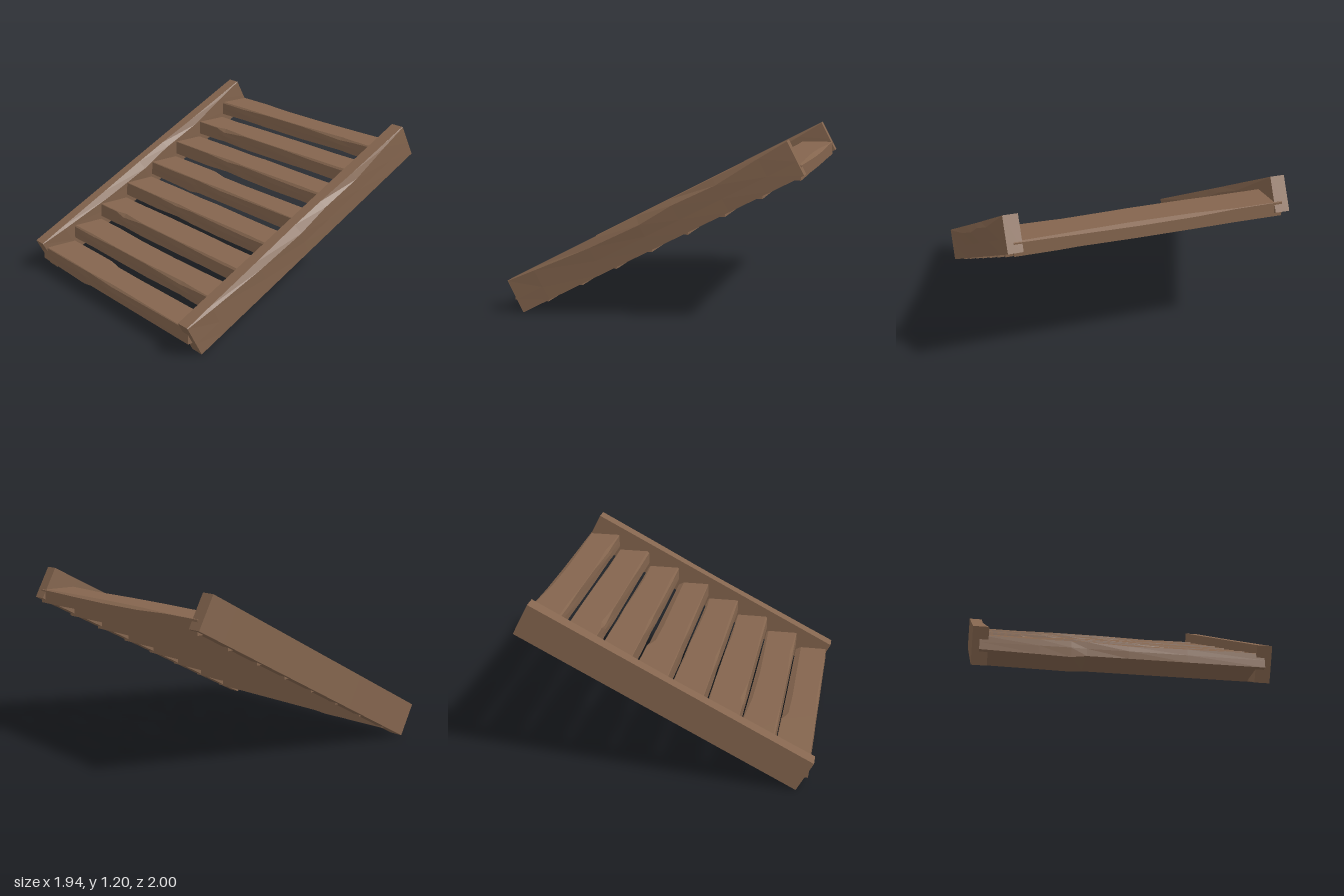
import * as THREE from 'three';

// Flat-shaded solid through a list of equal-length rings of [x, y, z] points.
function loft(rings) {
  const pos = [], n = rings[0].length;
  const tri = (a, b, c) => pos.push(...a, ...b, ...c);
  for (let i = 0; i < rings.length - 1; i++) {
    for (let j = 0; j < n; j++) {
      const k = (j + 1) % n, A = rings[i], B = rings[i + 1];
      tri(A[j], A[k], B[k]);
      tri(A[j], B[k], B[j]);
    }
  }
  const first = rings[0], last = rings[rings.length - 1];
  for (let j = 1; j < n - 1; j++) {
    tri(first[0], first[j + 1], first[j]);
    tri(last[0], last[j], last[j + 1]);
  }
  const g = new THREE.BufferGeometry();
  g.setAttribute('position', new THREE.Float32BufferAttribute(pos, 3));
  g.computeVertexNormals();
  return g;
}

// Worn tread styles: [x, front top chip, back top chip, front face bulge, sag]
const STYLES = [
  [[-0.925, .004, .004, 0, 0], [-0.55, .006, .004, .002, .008], [-0.35, .004, .006, .004, .014],
   [-0.25, .003, .045, 0, 0], [0.02, .014, .05, .004, 0], [0.4, .008, .045, .002, 0], [0.91, .003, .04, 0, 0]],
  [[-0.925, .008, .003, 0, 0], [-0.6, .012, .006, .003, -.004], [-0.3, .003, .03, 0, 0],
   [0.1, .004, .035, .002, .002], [0.5, .02, .025, .005, -.006], [0.62, .012, .02, .002, 0], [0.91, .004, .012, 0, 0]],
  [[-0.925, .003, .003, 0, 0], [-0.64, .004, .012, 0, 0], [-0.55, .025, .008, .004, -.004],
   [-0.3, .004, .004, 0, .004], [0.15, .004, .006, .003, 0], [0.45, .012, .014, 0, -.004], [0.91, .014, .004, 0, 0]],
  [[-0.925, .003, .004, 0, 0], [-0.45, .004, .004, 0, .003], [-0.2, .016, .012, .004, -.008],
   [-0.02, .006, .006, 0, 0], [0.3, .012, .016, .004, .004], [0.6, .016, .02, .002, 0], [0.91, .006, .008, 0, 0]],
];

function treadGeometry(style) {
  const h = 0.1, d = 0.242;
  return loft(style.map(([x, front, back, bulge, sag]) => [
    [x, -sag, 0],
    [x, -sag * 0.5, -d],
    [x, h - back * 0.5, -d],
    [x, h, -d + back],
    [x, h, -front],
    [x, h - front, 0],
    [x, h * 0.5, bulge],
  ]));
}

// Side beam along local z, with a wandering worn edge on its +x side.
function stringerGeometry(length, depth) {
  const stations = [ // [fraction, bulge, chip width, chip height]
    [0, 0, .003, .004], [0.1, .008, .008, .02], [0.3, .013, .014, .05],
    [0.48, .016, .022, .06], [0.6, .014, .02, .04], [0.75, .01, .01, .05], [0.9, .004, .006, .02], [1, 0, .003, .004],
  ];
  return loft(stations.map(([t, bulge, w, c]) => {
    const z = -t * length;
    return [
      [-0.05, 0, z],
      [-0.05, depth, z],
      [0.05 - w, depth, z],
      [0.05 + bulge, depth - c, z],
      [0.05 + bulge * 0.4, depth * 0.4, z],
      [0.05, 0, z],
    ];
  }));
}

export function createModel() {
  const model = new THREE.Group();
  model.name = 'staircase';
  const wood = new THREE.MeshStandardMaterial({ color: 0x84654e });

  // Two sloping side beams
  const beam = stringerGeometry(2.13, 0.242);
  for (const [name, x] of [['rightStringer', -0.92], ['leftStringer', 0.905]]) {
    const m = new THREE.Mesh(beam, wood);
    m.name = name;
    m.position.set(x, 0.003, 0.89);
    m.rotation.x = Math.atan2(0.985, 1.89);
    model.add(m);
  }

  // Eight treads climbing towards the back
  const treads = STYLES.map(treadGeometry);
  [0, 1, 2, 3, 0, 3, 2, 1].forEach((style, i) => {
    const m = new THREE.Mesh(treads[style], wood);
    m.name = 'tread' + (i + 1);
    m.position.set(0, 0.079 + i * 0.1245, 0.965 - i * 0.2425);
    model.add(m);
  });

  // Rings must run so that faces point outwards
  for (const g of [beam, ...treads]) orientOutward(g);
  return model;
}

// Reverses the corner order if the solid is inside out (negative volume).
function orientOutward(g) {
  const p = g.attributes.position;
  const a = new THREE.Vector3(), b = new THREE.Vector3(), c = new THREE.Vector3();
  let volume = 0;
  for (let i = 0; i < p.count; i += 3) {
    a.fromBufferAttribute(p, i);
    b.fromBufferAttribute(p, i + 1);
    c.fromBufferAttribute(p, i + 2);
    volume += a.dot(b.cross(c));
  }
  if (volume >= 0) return;
  for (let i = 0; i < p.count; i += 3) {
    b.fromBufferAttribute(p, i + 1);
    c.fromBufferAttribute(p, i + 2);
    p.setXYZ(i + 1, c.x, c.y, c.z);
    p.setXYZ(i + 2, b.x, b.y, b.z);
  }
  g.computeVertexNormals();
}
